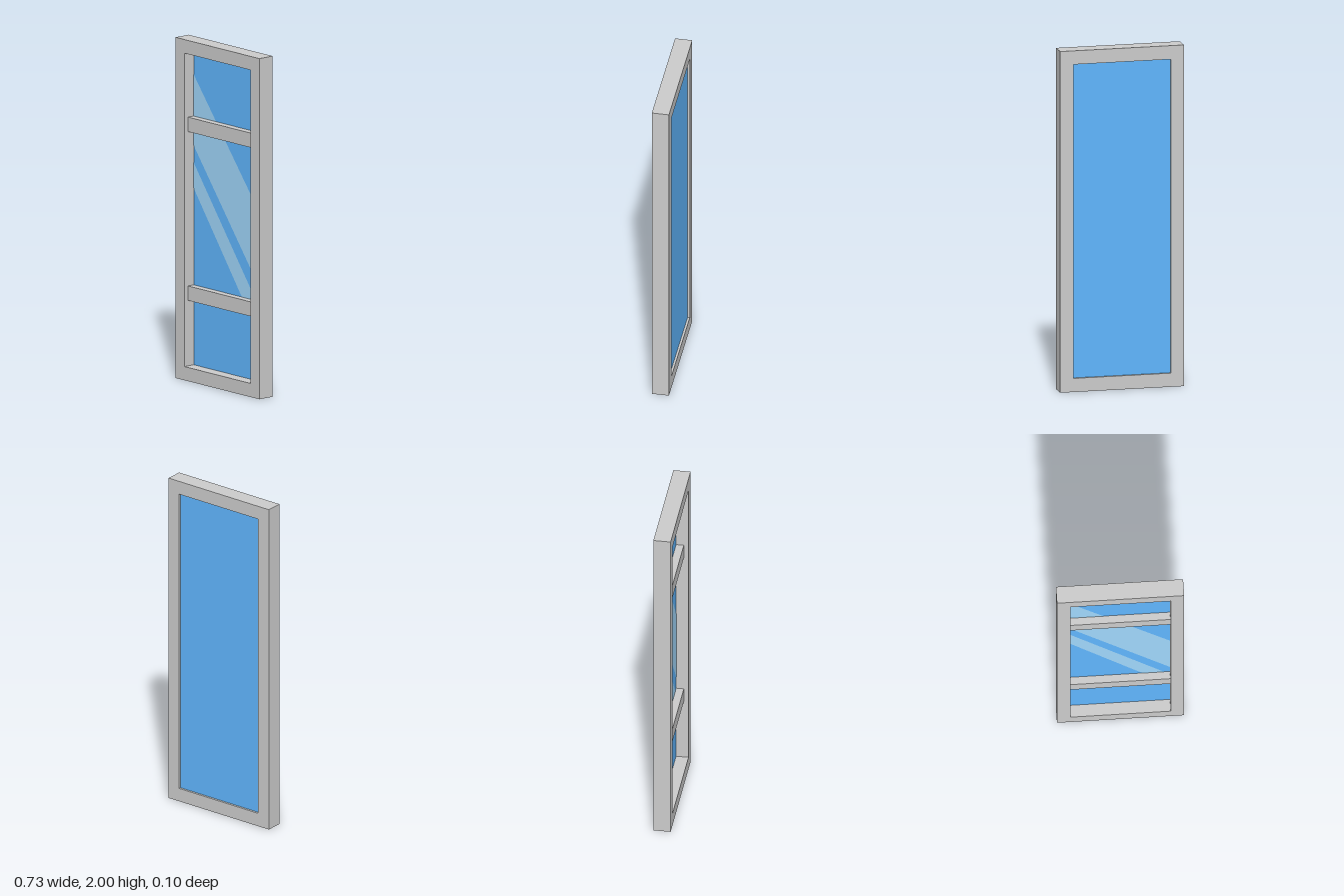
import * as THREE from 'three';

const W = 0.365, H = 2, D = 0.1;                    // half width, height, depth
const IX = 0.288, IY0 = 0.08, IY1 = 1.92;           // inner opening
const GLASS_BACK = -0.037, GLASS_FRONT = -0.022;

const grey = new THREE.MeshStandardMaterial({ color: 0xcccccc });
const blue = new THREE.MeshStandardMaterial({ color: 0x60b6fe });
const pale = new THREE.MeshStandardMaterial({ color: 0xa0d7fb });

const polygon = (points) => new THREE.Shape(points.map(([x, y]) => new THREE.Vector2(x, y)));

export function createModel() {
  const group = new THREE.Group();
  const add = (name, geometry, material) => {
    const mesh = new THREE.Mesh(geometry, material);
    mesh.name = name;
    group.add(mesh);
    return mesh;
  };

  // Outer frame with a rectangular opening
  const outline = polygon([[-W, 0], [W, 0], [W, H], [-W, H]]);
  outline.holes.push(polygon([[-IX, IY0], [-IX, IY1], [IX, IY1], [IX, IY0]]));
  const frame = new THREE.ExtrudeGeometry(outline, { depth: D, bevelEnabled: false });
  add('frame', frame.translate(0, 0, -D / 2), grey);

  // Glass pane, set close to the back of the frame
  const pane = new THREE.BoxGeometry(2 * IX, IY1 - IY0, GLASS_FRONT - GLASS_BACK);
  add('glassPane', pane, blue).position.set(0, (IY0 + IY1) / 2, (GLASS_FRONT + GLASS_BACK) / 2);

  // Cross bars, recessed from the front of the frame
  const barFront = 0.023;
  for (const [name, y] of [['upperBar', 1.498], ['lowerBar', 0.507]]) {
    const bar = new THREE.BoxGeometry(2 * IX, 0.085, barFront - GLASS_FRONT);
    add(name, bar, grey).position.set(0, y, (barFront + GLASS_FRONT) / 2);
  }

  // Slanted reflections on the front of the glass: left top/bottom, right top/bottom
  const streaks = [
    ['wideReflection', 1.785, 1.368, 1.065, 0.625],
    ['narrowReflection', 1.268, 1.118, 0.505, 0.337],
  ];
  for (const [name, leftTop, leftBottom, rightTop, rightBottom] of streaks) {
    const shape = polygon([[-IX, leftBottom], [IX, rightBottom], [IX, rightTop], [-IX, leftTop]]);
    add(name, new THREE.ShapeGeometry(shape), pale).position.z = GLASS_FRONT + 0.001;
  }
  return group;
}
